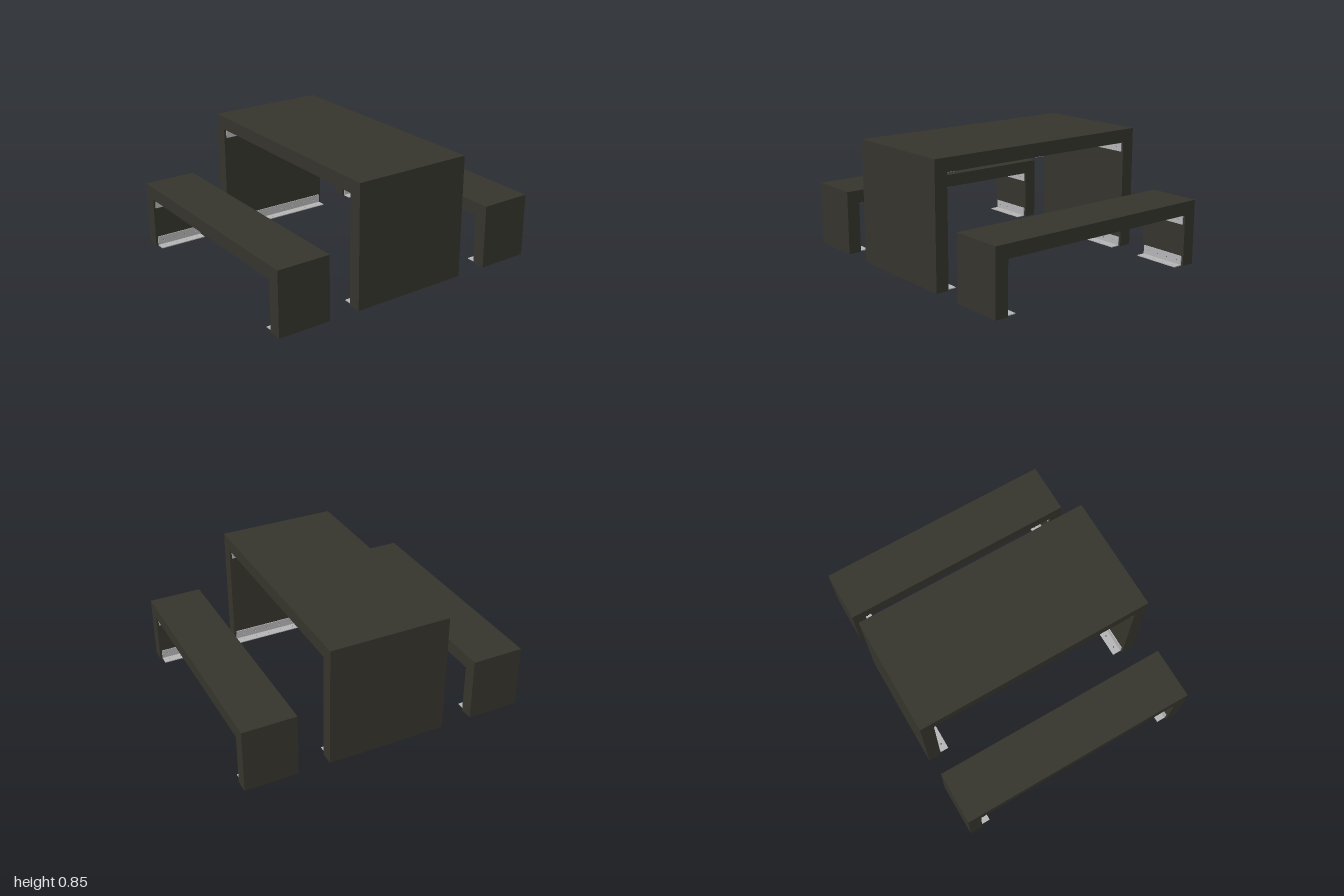
import * as THREE from 'three';

const V = (x, y, z) => new THREE.Vector3(x, y, z);
const HALF = 0.848;   // half length of table and benches
const THICK = 0.092;  // panel thickness
const STEEL = 0.006;  // bracket sheet thickness
const FLANGE = 0.067; // bracket flange width

// Thin steel strip from u0 to u1 wide, with a row of screw holes along its length
function stripGeometry(u0, u1, length, holes) {
  const h = length / 2;
  const shape = new THREE.Shape([
    new THREE.Vector2(u0, -h), new THREE.Vector2(u1, -h),
    new THREE.Vector2(u1, h), new THREE.Vector2(u0, h),
  ]);
  for (let i = 0; i < holes; i++) {
    const hole = new THREE.Path();
    hole.absarc((u0 + u1) / 2, -h + length * (i + 0.5) / holes, 0.005, 0, Math.PI * 2, true);
    shape.holes.push(hole);
  }
  return new THREE.ExtrudeGeometry(shape, { depth: STEEL, bevelEnabled: false, curveSegments: 6 });
}

// Angle bracket: one flange along -x, one along +y, running along z
function angleBracket(length, holes, steel) {
  const bracket = new THREE.Group();
  bracket.name = 'angleBracket';
  const flat = stripGeometry(0, FLANGE, length, holes);
  flat.applyMatrix4(new THREE.Matrix4().makeBasis(V(-1, 0, 0), V(0, 0, 1), V(0, 1, 0)));
  const upright = stripGeometry(STEEL, FLANGE, length, holes);
  upright.applyMatrix4(new THREE.Matrix4().makeBasis(V(0, 1, 0), V(0, 0, 1), V(1, 0, 0)));
  upright.translate(-STEEL, 0, 0);
  [['flatFlange', flat], ['uprightFlange', upright]].forEach(([name, geometry]) => {
    const mesh = new THREE.Mesh(geometry, steel);
    mesh.name = name;
    bracket.add(mesh);
  });
  return bracket;
}

// Slab-sided unit: top and two legs as one frame, with steel brackets inside
function slabUnit(name, height, depth, holes, wood, steel) {
  const unit = new THREE.Group();
  unit.name = name;
  const inner = HALF - THICK, under = height - THICK;

  const outline = new THREE.Shape([
    [-HALF, 0], [-inner, 0], [-inner, under], [inner, under],
    [inner, 0], [HALF, 0], [HALF, height], [-HALF, height],
  ].map(([x, y]) => new THREE.Vector2(x, y)));
  const frameGeometry = new THREE.ExtrudeGeometry(outline, { depth, bevelEnabled: false });
  frameGeometry.translate(0, 0, -depth / 2);
  const frame = new THREE.Mesh(frameGeometry, wood);
  frame.name = 'topAndLegs';
  unit.add(frame);

  // Brackets in the four inner corners, each a quarter turn from the last
  const length = depth - 0.03;
  [[inner, 0], [inner, under], [-inner, under], [-inner, 0]].forEach(([x, y], i) => {
    const bracket = angleBracket(length, holes, steel);
    bracket.position.set(x, y, 0);
    bracket.rotation.z = i * Math.PI / 2;
    unit.add(bracket);
  });

  // Flat strap across the middle of the underside
  const strapGeometry = stripGeometry(-0.035, 0.035, length, holes);
  strapGeometry.applyMatrix4(new THREE.Matrix4().makeBasis(V(1, 0, 0), V(0, 0, 1), V(0, -1, 0)));
  const strap = new THREE.Mesh(strapGeometry, steel);
  strap.name = 'centreStrap';
  strap.position.y = under;
  unit.add(strap);
  return unit;
}

export function createModel() {
  const wood = new THREE.MeshStandardMaterial({ color: 0x35342c });
  wood.name = 'dark panel';
  const steel = new THREE.MeshStandardMaterial({ color: 0xb4b4b6 });
  steel.name = 'bare steel';

  const model = new THREE.Group();
  model.name = 'picnicTableSet';
  model.add(slabUnit('table', 0.848, 0.83, 8, wood, steel));
  [['frontBench', 1], ['backBench', -1]].forEach(([name, side]) => {
    const bench = slabUnit(name, 0.445, 0.366, 4, wood, steel);
    bench.position.z = side * 0.817;
    model.add(bench);
  });
  return model;
}
